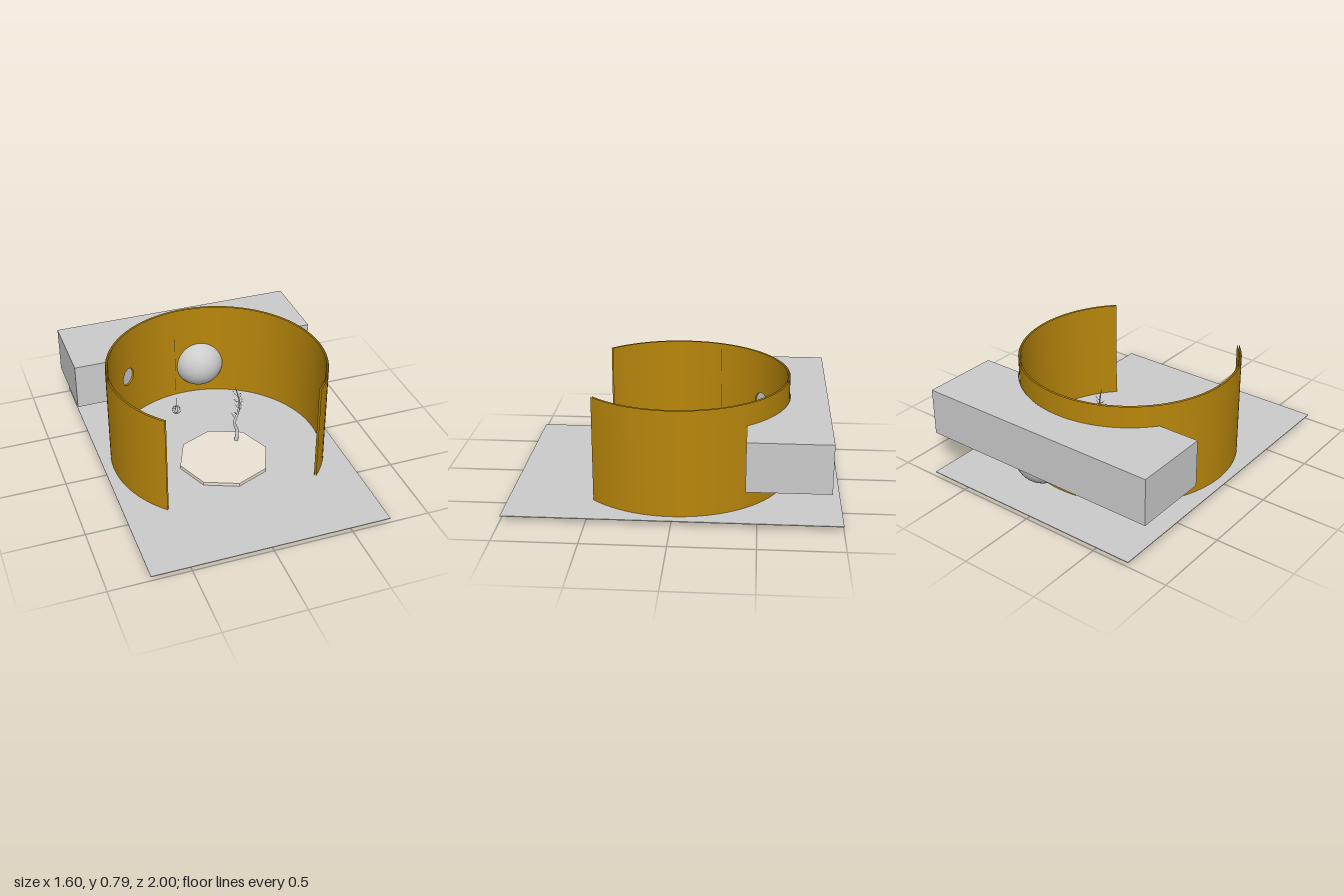
import * as THREE from 'three';

const grey = new THREE.MeshStandardMaterial({ color: 0xcccccc });
const gold = new THREE.MeshStandardMaterial({ color: 0xb8860b, side: THREE.DoubleSide });
const cream = new THREE.MeshStandardMaterial({ color: 0xece3d5, flatShading: true });

const OUTER = 0.686, INNER = 0.673, HEIGHT = 0.69;
const HOLE = { angle: 3.844, y: 0.355, r: 0.06 };
const PANEL = 0.16; // half angle of the wall panel around the porthole

function add(parent, name, geometry, material, x = 0, y = 0, z = 0) {
  const mesh = new THREE.Mesh(geometry, material);
  mesh.name = name;
  mesh.position.set(x, y, z);
  parent.add(mesh);
  return mesh;
}

// Surface from a rule: f(u, v) returns [angle, y, radius] on the round wall
function bentSurface(nu, nv, f) {
  const g = new THREE.PlaneGeometry(1, 1, nu, nv);
  const { position: p, uv } = g.attributes;
  for (let i = 0; i < p.count; i++) {
    const [a, y, r] = f(uv.getX(i), uv.getY(i));
    p.setXYZ(i, r * Math.sin(a), y, r * Math.cos(a));
  }
  g.computeVertexNormals();
  return g;
}

function holePoint(t) {
  return [HOLE.angle + HOLE.r * Math.cos(t) / OUTER, HOLE.y + HOLE.r * Math.sin(t)];
}

// Tapered tube through a list of points
function limb(points, r0, r1, steps, sides) {
  const curve = new THREE.CatmullRomCurve3(points);
  const g = new THREE.TubeGeometry(curve, steps, 1, sides);
  const p = g.attributes.position, v = new THREE.Vector3();
  for (let i = 0; i < p.count; i++) {
    const t = Math.floor(i / (sides + 1)) / steps;
    const c = curve.getPointAt(t);
    v.fromBufferAttribute(p, i).sub(c).multiplyScalar(r0 + (r1 - r0) * t).add(c);
    p.setXYZ(i, v.x, v.y, v.z);
  }
  return g;
}

function makeWall() {
  const wall = new THREE.Group();
  wall.name = 'curvedWall';
  const start = Math.PI / 4, end = 7 * Math.PI / 4;
  for (const [side, r] of [['outer', OUTER], ['inner', INNER]]) {
    // plain stretches on both sides of the porthole panel
    for (const [a, b] of [[start, HOLE.angle - PANEL], [HOLE.angle + PANEL, end]]) {
      add(wall, side + 'WallFace', new THREE.CylinderGeometry(r, r, HEIGHT, 48, 1, true, a, b - a), gold, 0, HEIGHT / 2, 0);
    }
    // panel spreading from the round hole to a rectangle
    add(wall, side + 'PortholePanel', bentSurface(64, 8, (u, v) => {
      const t = u * Math.PI * 2, c = Math.cos(t), s = Math.sin(t);
      const k = 1 / Math.max(Math.abs(c), Math.abs(s));
      const [ha, hy] = holePoint(t);
      return [
        THREE.MathUtils.lerp(ha, HOLE.angle + c * k * PANEL, v),
        THREE.MathUtils.lerp(hy, HEIGHT / 2 + s * k * HEIGHT / 2, v), r];
    }), gold);
  }
  add(wall, 'portholeRim', bentSurface(48, 1, (u, v) =>
    [...holePoint(u * Math.PI * 2), INNER + (OUTER - INNER) * v]), gold);
  return wall;
}

function makeTree() {
  const tree = new THREE.Group();
  tree.name = 'tree';
  let seed = 7;
  const rand = () => (seed = (seed * 16807) % 2147483647) / 2147483647;
  const V = (x, y, z) => new THREE.Vector3(x, y, z);
  const trunk = [V(0.135, 0.055, -0.005), V(0.145, 0.12, -0.02), V(0.131, 0.18, -0.03),
    V(0.16, 0.235, -0.05), V(0.181, 0.285, -0.075), V(0.173, 0.345, -0.085), V(0.157, 0.41, -0.09)];
  add(tree, 'trunk', limb(trunk, 0.013, 0.002, 40, 8), grey);
  const curve = new THREE.CatmullRomCurve3(trunk);

  // branches alternate sides, each ending in fine twigs
  for (let i = 0; i < 9; i++) {
    const from = curve.getPointAt(0.4 + i * 0.05);
    const side = i % 2 ? 1 : -1;
    const tip = from.clone().add(V(side * (0.02 + 0.02 * rand()), 0.015 + 0.03 * rand(), -0.03 + 0.05 * rand()));
    const mid = from.clone().lerp(tip, 0.5).add(V(0, -0.006, 0));
    add(tree, 'branch', limb([from, mid, tip], 0.002, 0.0007, 6, 5), grey);
    for (let j = 0; j < 4; j++) {
      const root = from.clone().lerp(tip, 0.5 + 0.15 * j);
      const end = root.clone().add(V((rand() - 0.4) * 0.03 * side, (rand() - 0.3) * 0.025, (rand() - 0.5) * 0.03));
      add(tree, 'twig', limb([root, end], 0.0009, 0.0005, 2, 4), grey);
    }
  }
  return tree;
}

function makePendant() {
  const pendant = new THREE.Group();
  pendant.name = 'hangingCage';
  pendant.position.set(-0.19, 0, -0.255);
  add(pendant, 'cord', new THREE.CylinderGeometry(0.001, 0.001, 0.555, 6), grey, 0, 0.5125, 0);
  for (let i = 0; i < 6; i++) {
    const ring = add(pendant, 'cageRing', new THREE.TorusGeometry(0.028, 0.001, 6, 32), grey, 0, 0.207, 0);
    ring.rotation.y = i * Math.PI / 6;
  }
  return pendant;
}

export function createModel() {
  const model = new THREE.Group();
  model.name = 'pavilion';

  add(model, 'groundSlab', new THREE.BoxGeometry(1.49, 0.005, 2), grey, 0, 0.03, 0);
  model.add(makeWall());

  // rear block with a round bite that fits the wall
  const r = 0.69, front = 0.43, cut = Math.sqrt(r * r - front * front);
  const plan = new THREE.Shape();
  plan.moveTo(-0.8, front);
  plan.lineTo(-cut, front);
  plan.absarc(0, 0, r, Math.atan2(front, -cut), Math.atan2(front, cut), true);
  plan.lineTo(0.8, front);
  plan.lineTo(0.8, 0.92);
  plan.lineTo(-0.8, 0.92);
  plan.closePath();
  const block = new THREE.ExtrudeGeometry(plan, { depth: 0.3, bevelEnabled: false, curveSegments: 40 });
  block.rotateX(-Math.PI / 2);
  add(model, 'rearBlock', block, grey, 0, 0.255, 0);

  // sphere pushed through the wall under the block
  add(model, 'sphere', new THREE.SphereGeometry(0.169, 48, 32), grey, 0.114, 0.25, -0.71);

  add(model, 'octagonalPlatform', new THREE.CylinderGeometry(0.29, 0.29, 0.025, 8), cream, 0, 0.0425, 0.13);

  model.add(makeTree(), makePendant());
  return model;
}
